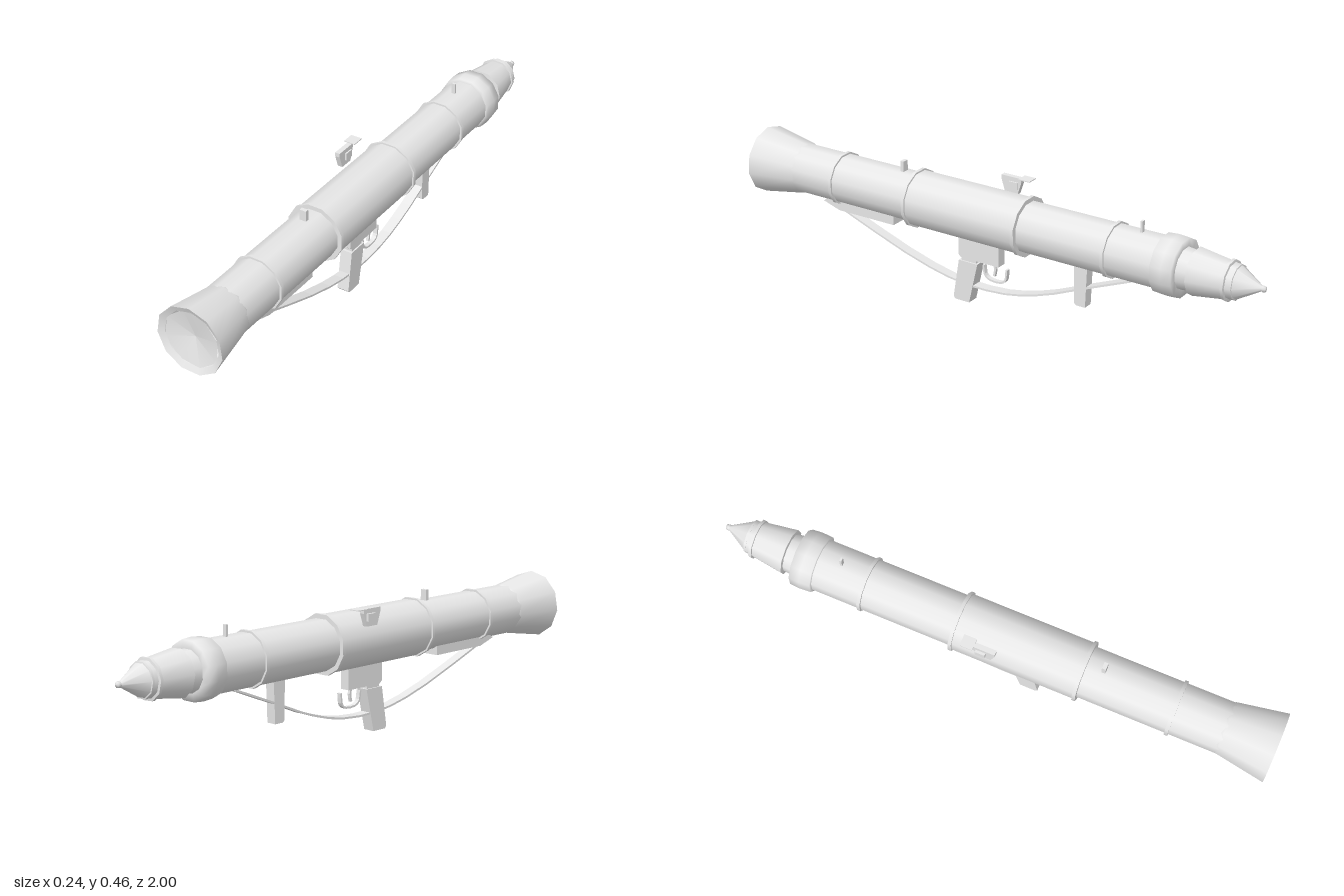
import * as THREE from 'three';

export function createModel() {
  const group = new THREE.Group();
  group.name = 'rocketLauncher';
  const white = new THREE.MeshStandardMaterial({ color: 0xffffff, side: THREE.DoubleSide });
  white.name = 'plain white';
  const AXIS = 0.335;

  function add(name, geometry, x = 0, y = 0, z = 0) {
    const mesh = new THREE.Mesh(geometry, white);
    mesh.name = name;
    mesh.position.set(x, y, z);
    group.add(mesh);
  }

  // Round part along z from [radius, z] pairs in rising z; hard corners double the points
  function turned(name, profile, sides = 12, smooth = false) {
    const pts = [];
    profile.forEach(([r, z], i) => {
      pts.push(new THREE.Vector2(r, z));
      if (!smooth && i > 0 && i < profile.length - 1) pts.push(new THREE.Vector2(r, z));
    });
    const g = new THREE.LatheGeometry(pts, sides, 0.25, Math.PI * 2);
    g.rotateX(Math.PI / 2);
    add(name, g, 0, AXIS, 0);
  }

  // Flat side outline of [z, y] pairs given a width across x
  function sidePlate(name, outline, width, x = 0) {
    const shape = new THREE.Shape(outline.map(([z, y]) => new THREE.Vector2(z, y)));
    const g = new THREE.ExtrudeGeometry(shape, { depth: width, bevelEnabled: false });
    g.translate(0, 0, -width / 2);
    g.rotateY(-Math.PI / 2);
    add(name, g, x);
  }

  const box = (name, w, h, d, x, y, z) => add(name, new THREE.BoxGeometry(w, h, d), x, y, z);

  // Curved strip of even thickness along [z, y] points
  function strip(name, points, width, thick, count) {
    const curve = new THREE.CatmullRomCurve3(points.map(([z, y]) => new THREE.Vector3(z, y, 0)));
    const top = [], bottom = [];
    for (let i = 0; i <= count; i++) {
      const p = curve.getPoint(i / count), t = curve.getTangent(i / count);
      top.push([p.x - t.y * thick / 2, p.y + t.x * thick / 2]);
      bottom.unshift([p.x + t.y * thick / 2, p.y - t.x * thick / 2]);
    }
    sidePlate(name, [...top, ...bottom], width);
  }

  // Launch tube and central sleeve
  turned('tube', [[0.09, -0.65], [0.09, 0.83]]);
  turned('sleeve', [[0.088, -0.12], [0.1, -0.12], [0.1, 0.32], [0.088, 0.32]]);

  // Clamp bands
  for (const [z, r] of [[0.65, 0.097], [0.325, 0.106], [-0.122, 0.106], [-0.46, 0.097]]) {
    turned('band', [[0.085, z - 0.006], [r, z - 0.006], [r, z + 0.006], [0.085, z + 0.006]]);
  }

  // Flared exhaust with a rim and a shallow dished opening
  turned('flare', [[0.086, 0.815], [0.092, 0.825], [0.122, 1]], 11, true);
  turned('flareRim', [[0.101, 0.99], [0.122, 1]], 11);
  turned('flareDish', [[0, 0.97], [0.103, 0.99]], 8);

  // Muzzle collar
  turned('collar', [[0.07, -0.715], [0.1, -0.715], [0.103, -0.678], [0.1, -0.638], [0.088, -0.636]], 12, true);

  // Warhead
  turned('neck', [[0.066, -0.76], [0.072, -0.71]]);
  turned('warhead', [[0.063, -0.88], [0.081, -0.755], [0.06, -0.753]], 10);
  turned('warheadRing', [[0.05, -0.885], [0.07, -0.882], [0.07, -0.872], [0.05, -0.87]], 10);
  turned('noseCone', [[0.009, -0.985], [0.059, -0.9], [0.062, -0.875]], 10);
  turned('noseRing', [[0.05, -0.907], [0.06, -0.905], [0.06, -0.897], [0.05, -0.895]], 10);
  turned('noseTip', [[0, -1], [0.009, -0.997], [0.011, -0.988], [0.007, -0.978]], 8, true);

  // Open sights on top
  box('rearSight', 0.024, 0.045, 0.014, 0, 0.4375, 0.39);
  box('frontSight', 0.014, 0.045, 0.008, 0, 0.4385, -0.556);

  // Side sight on the right
  const sight = [[0.045, 0.44], [0.03, 0.395], [-0.02, 0.395], [-0.035, 0.44], [-0.035, 0.455], [0.045, 0.455]];
  sidePlate('sideSight', sight, 0.018, -0.099);
  box('sideSightMount', 0.032, 0.026, 0.035, -0.101, 0.426, -0.005);
  box('sideSightPlate', 0.042, 0.003, 0.045, -0.1, 0.456, -0.052);

  // Shoulder rest
  sidePlate('shoulderRest', [[0.72, 0.248], [0.65, 0.226], [0.41, 0.226], [0.41, 0.262], [0.7, 0.262]], 0.085);

  // Trigger housing, grip, guard and trigger
  sidePlate('triggerHousing', [[0.15, 0.25], [0.15, 0.172], [0.14, 0.163], [-0.015, 0.163], [-0.015, 0.25]], 0.037);
  sidePlate('grip', [[0.147, 0.153], [0.17, 0.008], [0.163, 0], [0.105, 0], [0.07, 0.153]], 0.044);
  box('gripNeck', 0.034, 0.02, 0.06, 0, 0.157, 0.108);
  strip('triggerGuard', [[0.055, 0.15], [0.048, 0.115], [0.03, 0.102], [-0.02, 0.102], [-0.035, 0.115], [-0.04, 0.155]], 0.016, 0.007, 12);
  strip('trigger', [[0.015, 0.17], [0.008, 0.145], [0.013, 0.118]], 0.01, 0.008, 4);

  // Forward hand grip
  sidePlate('foreGrip', [[-0.315, 0.25], [-0.318, 0.112], [-0.325, 0.105], [-0.36, 0.105], [-0.365, 0.25]], 0.037);

  // Carrying sling
  strip('sling', [[0.72, 0.247], [0.6, 0.2], [0.31, 0.1], [0.13, 0.066], [-0.05, 0.071],
    [-0.2, 0.11], [-0.35, 0.172], [-0.53, 0.246]], 0.037, 0.007, 16);

  return group;
}
